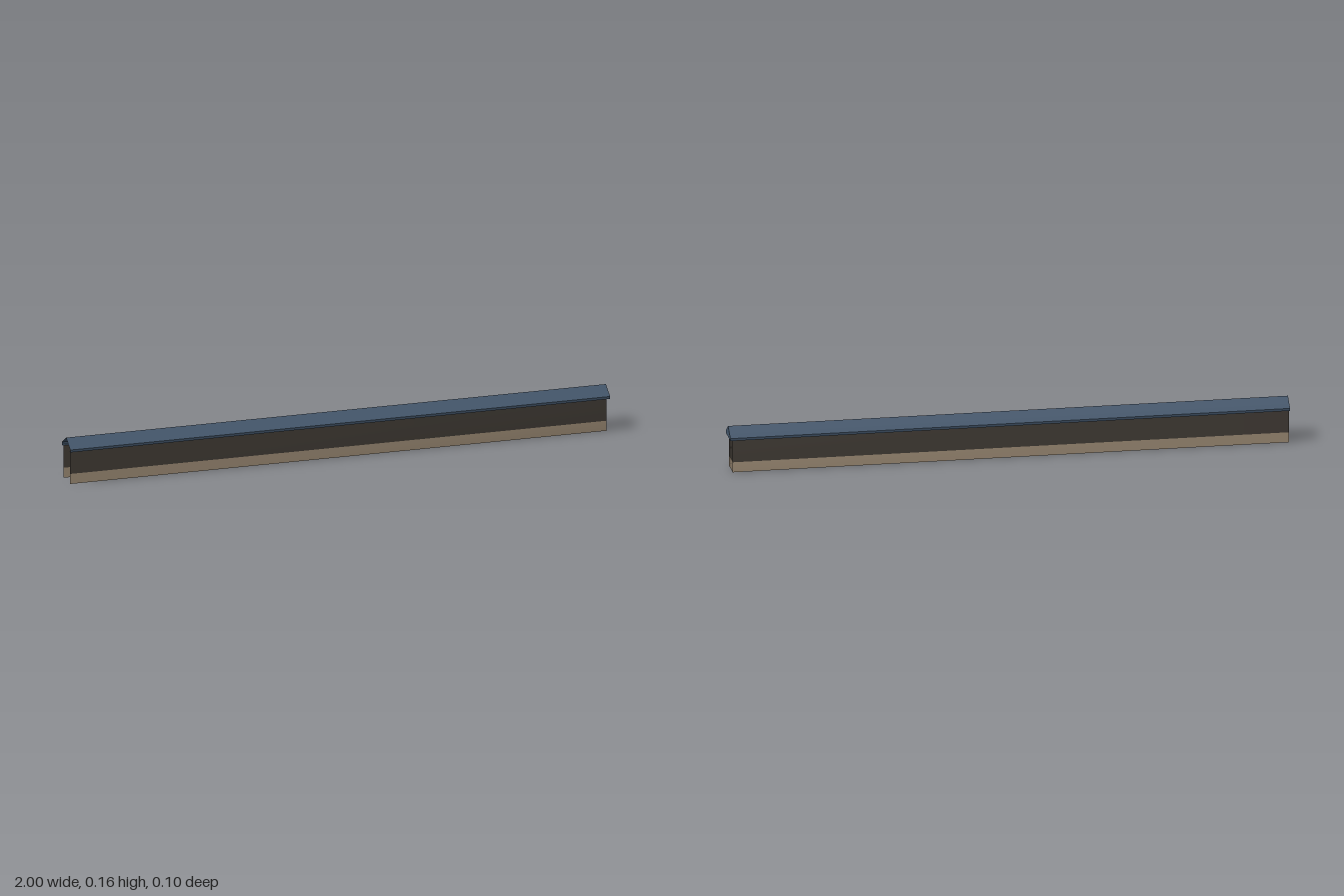
import * as THREE from 'three';

const material = (name, color) => {
  const m = new THREE.MeshStandardMaterial({ color, side: THREE.DoubleSide });
  m.name = name;
  return m;
};

// Strip of quads between two matching rows of points
function strip(rowA, rowB) {
  const n = rowA.length, index = [];
  for (let i = 0; i < n - 1; i++) {
    index.push(i, i + 1, n + i + 1, i, n + i + 1, n + i);
  }
  const g = new THREE.BufferGeometry();
  g.setAttribute('position', new THREE.Float32BufferAttribute([...rowA, ...rowB].flat(), 3));
  g.setIndex(index);
  g.computeVertexNormals();
  return g;
}

export function createModel() {
  const group = new THREE.Group();
  const stone = material('stone beige', 0xab9880);
  const timber = material('dark timber', 0x48423b);
  const slate = material('slate blue', 0x43566b);

  const add = (name, geometry, mat) => {
    const mesh = new THREE.Mesh(geometry, mat);
    mesh.name = name;
    group.add(mesh);
  };

  // Thin wall: front, closed right-hand end, back; the other end stays open
  const plan = [[-0.997, 0.038], [0.99, 0.038], [0.99, -0.038], [-0.997, -0.038]];
  const row = (y) => plan.map(([x, z]) => [x, y, z]);
  add('wallBase', strip(row(0), row(0.037)), stone);
  add('wallUpper', strip(row(0.037), row(0.12)), timber);

  // Flared roof section, from the front soffit over the ridge to the back soffit
  const half = [[0.037, 0.12], [0.049, 0.12], [0.049, 0.129], [0.03, 0.14]];
  const section = [...half, [0, 0.16], ...half.map(([z, y]) => [-z, y]).reverse()];
  const edge = (x) => section.map(([z, y]) => [x, y, z]);
  const roof = strip(edge(-1), edge(1)).toNonIndexed();
  // Reverse the winding so that the normals face outwards
  const p = roof.attributes.position;
  const a = new THREE.Vector3(), c = new THREE.Vector3();
  for (let i = 0; i < p.count; i += 3) {
    a.fromBufferAttribute(p, i);
    c.fromBufferAttribute(p, i + 2);
    p.setXYZ(i, c.x, c.y, c.z);
    p.setXYZ(i + 2, a.x, a.y, a.z);
  }
  roof.computeVertexNormals();
  add('roof', roof, slate);

  // Gable closing the roof above the end wall
  const outline = section.slice(1, -1).map(([z, y]) => new THREE.Vector2(-z, y));
  const gable = new THREE.ShapeGeometry(new THREE.Shape(outline));
  gable.rotateY(Math.PI / 2).translate(1, 0, 0);
  add('gable', gable, slate);

  // Soffit under the overhang at the closed end
  const soffit = new THREE.PlaneGeometry(0.01, 0.098);
  soffit.rotateX(Math.PI / 2).translate(0.995, 0.12, 0);
  add('endSoffit', soffit, slate);

  return group;
}
